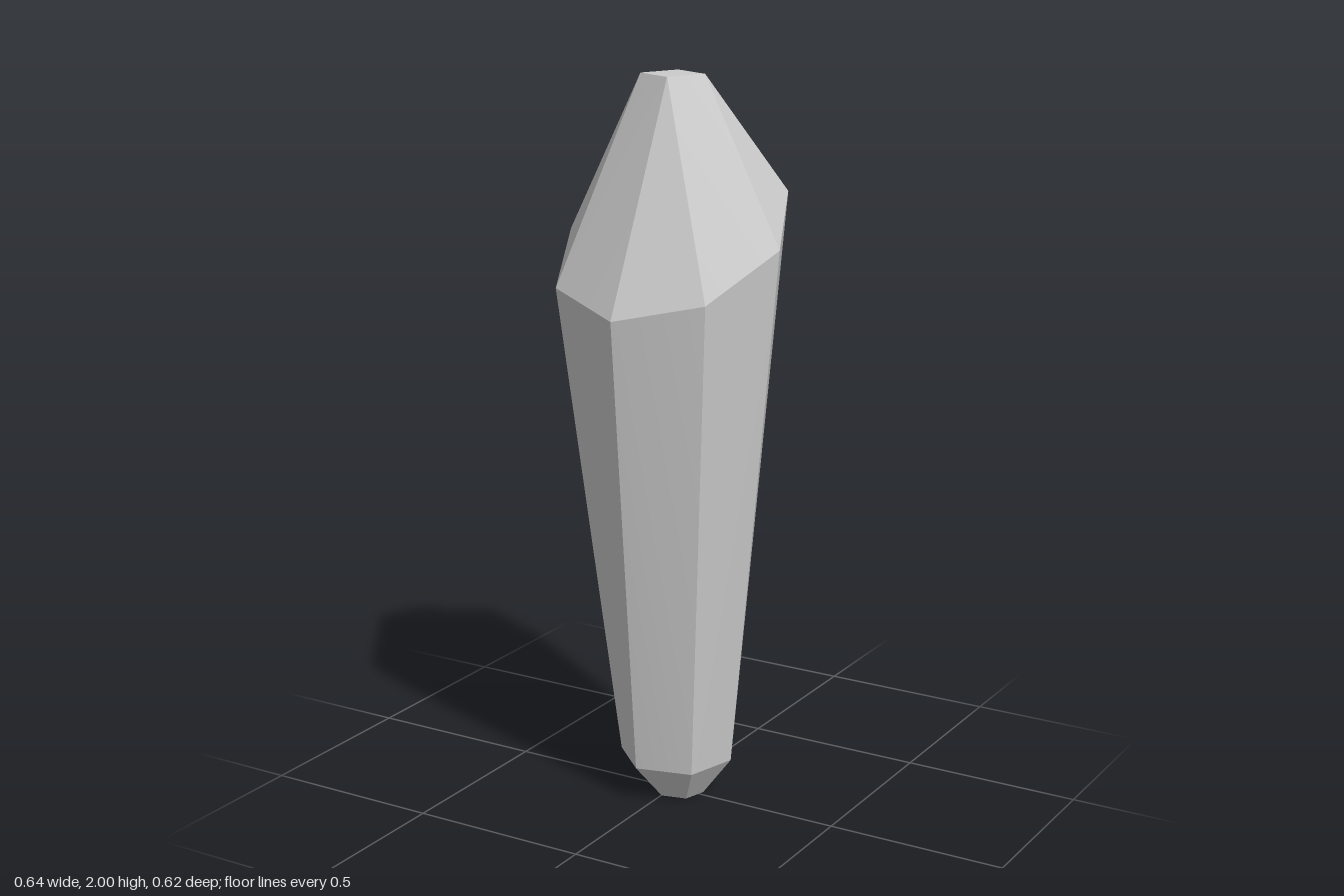
import * as THREE from 'three';
import { ConvexGeometry } from 'three/addons/geometries/ConvexGeometry.js';
import { toCreasedNormals } from 'three/addons/utils/BufferGeometryUtils.js';

// One ring of corners; height may depend on z, so a ring can be tilted.
function ring(sides, startDeg, rx, rz, cx, height) {
  return Array.from({ length: sides }, (_, i) => {
    const a = THREE.MathUtils.degToRad(startDeg) + (i / sides) * Math.PI * 2;
    const z = Math.sin(a) * rz;
    return new THREE.Vector3(cx + Math.cos(a) * rx, height(z), z);
  });
}

export function createModel() {
  const group = new THREE.Group();
  group.name = 'crystal';

  const corners = [
    // small hexagonal foot and the wider hexagon above it
    ...ring(6, 45, 0.072, 0.065, 0.02, () => 0),
    ...ring(6, 45, 0.16, 0.15, 0.01, () => 0.105),
    // tilted octagonal girdle, low at the front and high at the back
    ...ring(8, 0, 0.32, 0.31, 0, (z) => 1.565 - 0.53 * z),
    // flat square tip
    ...ring(4, -21, 0.085, 0.085, 0, () => 2),
  ];

  // facets stretched over the rings, with only the shallow edges softened
  const geometry = toCreasedNormals(new ConvexGeometry(corners), 0.42);
  const material = new THREE.MeshStandardMaterial({ color: 0xcccccc });
  const shard = new THREE.Mesh(geometry, material);
  shard.name = 'crystalShard';
  group.add(shard);
  return group;
}
